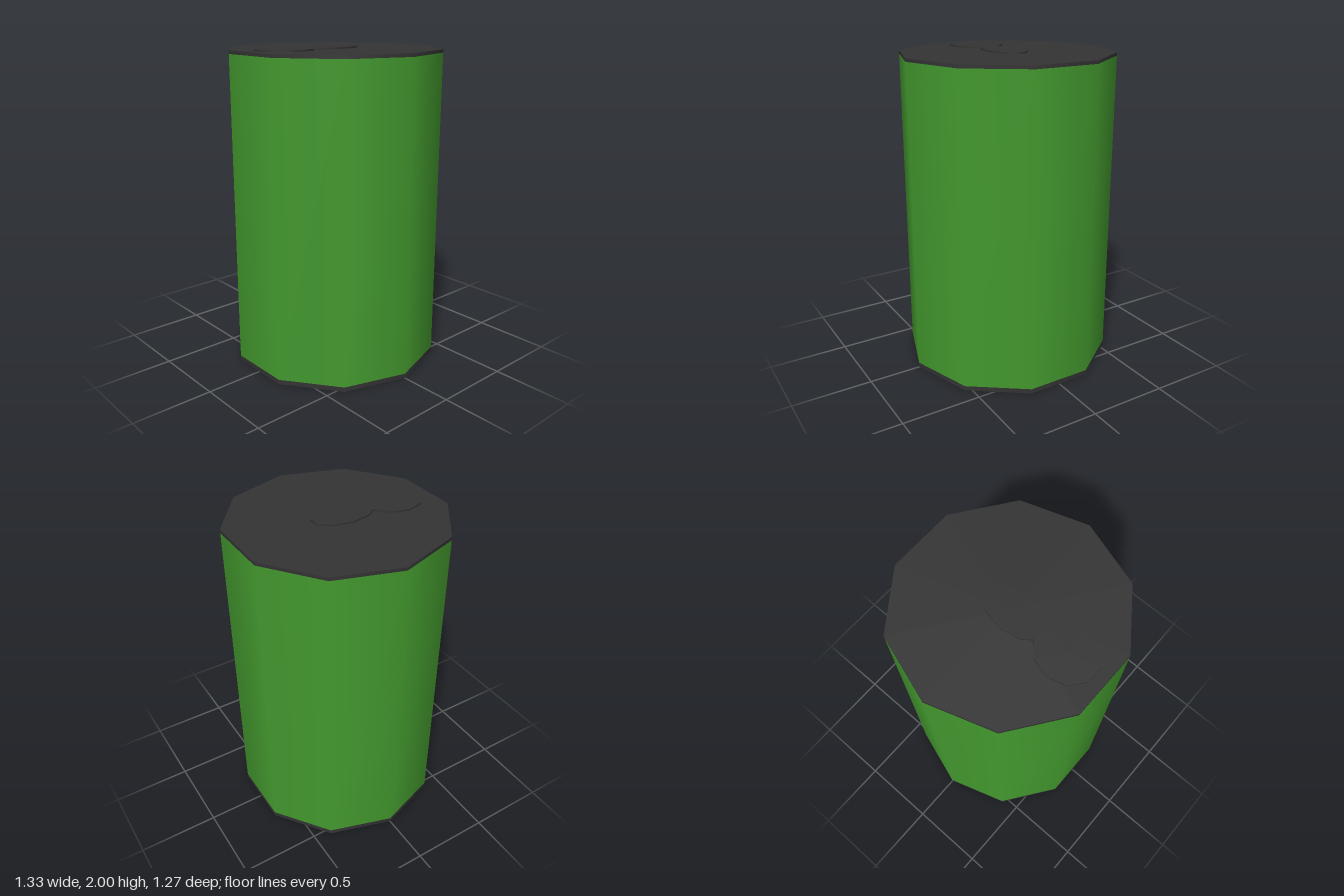
import * as THREE from 'three';

const SIDES = 10;
const green = new THREE.MeshStandardMaterial({ color: 0x43992e });
const dark = new THREE.MeshStandardMaterial({ color: 0x333333 });

// Ten-sided drum spanning y0..y1, with a corner on the +x axis
function drum(name, material, radius, y0, y1, open = false) {
  const geometry = new THREE.CylinderGeometry(radius, radius, y1 - y0, SIDES, 1, open, Math.PI / 2);
  const mesh = new THREE.Mesh(geometry, material);
  mesh.name = name;
  mesh.position.y = (y0 + y1) / 2;
  return mesh;
}

export function createModel() {
  const can = new THREE.Group();
  can.name = 'can';
  const radius = 0.667;

  // Bottom plate, smooth wall and lid, all flush
  can.add(
    drum('base', dark, radius, 0, 0.03),
    drum('body', green, radius, 0.03, 1.97, true),
    drum('lid', dark, radius, 1.97, 1.99)
  );

  // Pull tab: two overlapping flat ovals on the lid
  const pullTab = new THREE.Group();
  pullTab.name = 'pullTab';
  const ovals = [
    ['tabGrip', 0.165, 0.187, 0.385],
    ['tabNose', 0.118, 0.205, 0.035],
  ];
  for (const [name, rx, rz, z] of ovals) {
    const oval = drum(name, dark, 1, 1.99, 2);
    oval.geometry.scale(rx, 1, rz);
    oval.position.z = z;
    pullTab.add(oval);
  }
  can.add(pullTab);
  return can;
}
